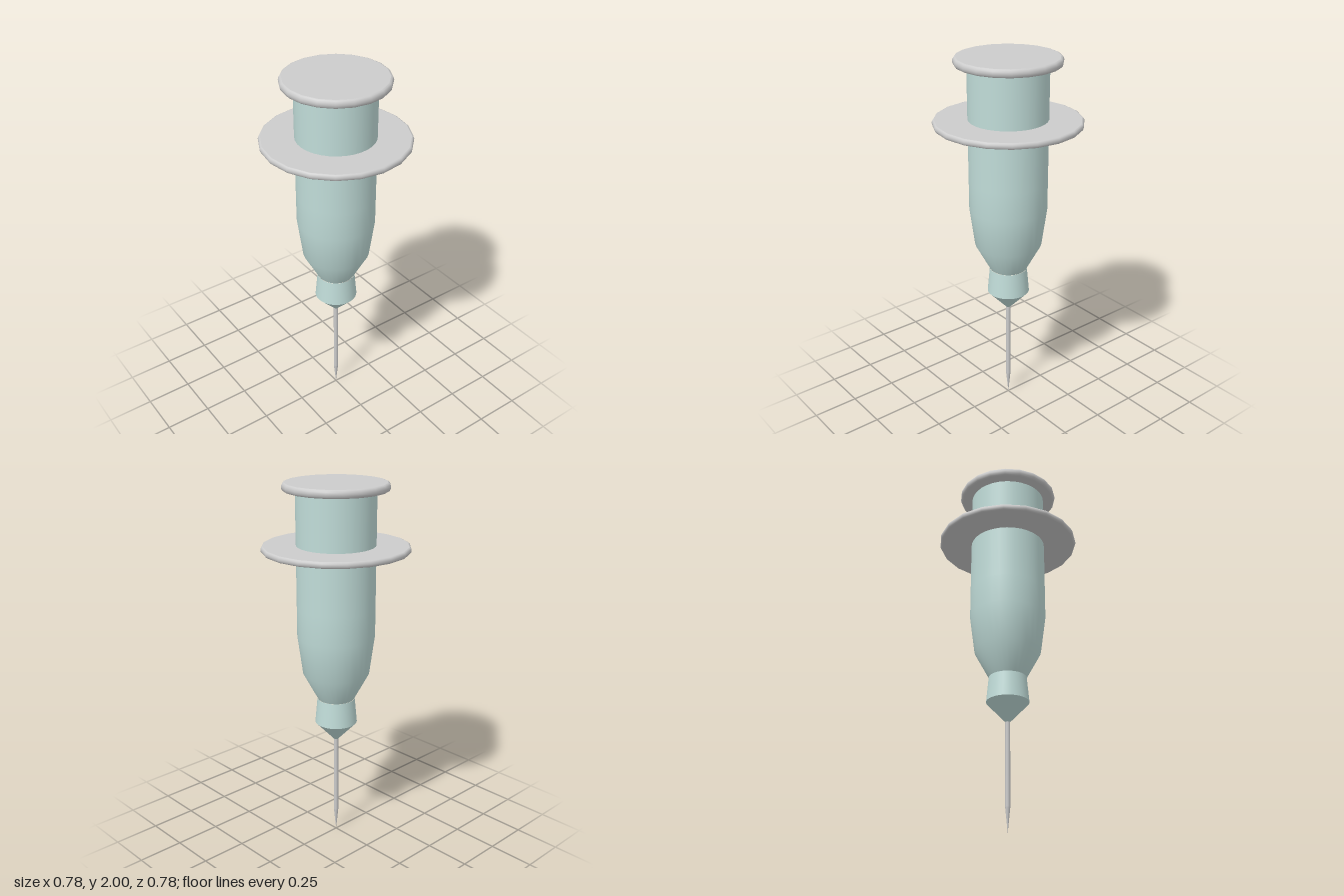
import * as THREE from 'three';

const grey = new THREE.MeshStandardMaterial({ color: 0xcccccc });
const tint = new THREE.MeshStandardMaterial({ color: 0xc0dcd8 });

// Turned part: each run of [radius, y] points is smooth, with a sharp edge between runs
function turned(name, material, sides, ...runs) {
  const part = new THREE.Group();
  part.name = name;
  for (const run of runs) {
    const points = run.map(([r, y]) => new THREE.Vector2(r, y));
    const mesh = new THREE.Mesh(new THREE.LatheGeometry(points, sides), material);
    mesh.name = name + 'Surface';
    part.add(mesh);
  }
  return part;
}

// Disc with a rounded rim and flat faces
function disc(name, radius, bottom, top) {
  const h = (top - bottom) / 2, mid = (top + bottom) / 2;
  const rim = [];
  for (let i = 0; i <= 6; i++) {
    const a = -Math.PI / 2 + (i * Math.PI) / 6;
    rim.push([radius - h * 0.7 + h * 0.7 * Math.cos(a), mid + h * Math.sin(a)]);
  }
  const inner = radius - h * 0.7;
  return turned(name, grey, 20, [[0, bottom], [inner, bottom]], rim, [[inner, top], [0, top]]);
}

export function createModel() {
  const model = new THREE.Group();
  model.name = 'syringe';
  model.add(
    // Plunger cap and finger flange
    disc('plungerCap', 0.277, 1.957, 2),
    disc('fingerFlange', 0.389, 1.647, 1.68),
    // Barrel tapering to the neck
    turned('barrel', tint, 32, [[0.1, 0.83], [0.18, 0.98], [0.208, 1.19], [0.208, 1.35], [0.208, 1.97]]),
    // Flared hub with a conical underside
    turned('needleHub', tint, 32, [[0.012, 0.58], [0.115, 0.69]], [[0.115, 0.69], [0.102, 0.83]]),
    // Needle with a sharp point
    turned('needle', grey, 12, [[0, 0], [0.013, 0.13]], [[0.013, 0.13], [0.013, 0.6]])
  );
  return model;
}
